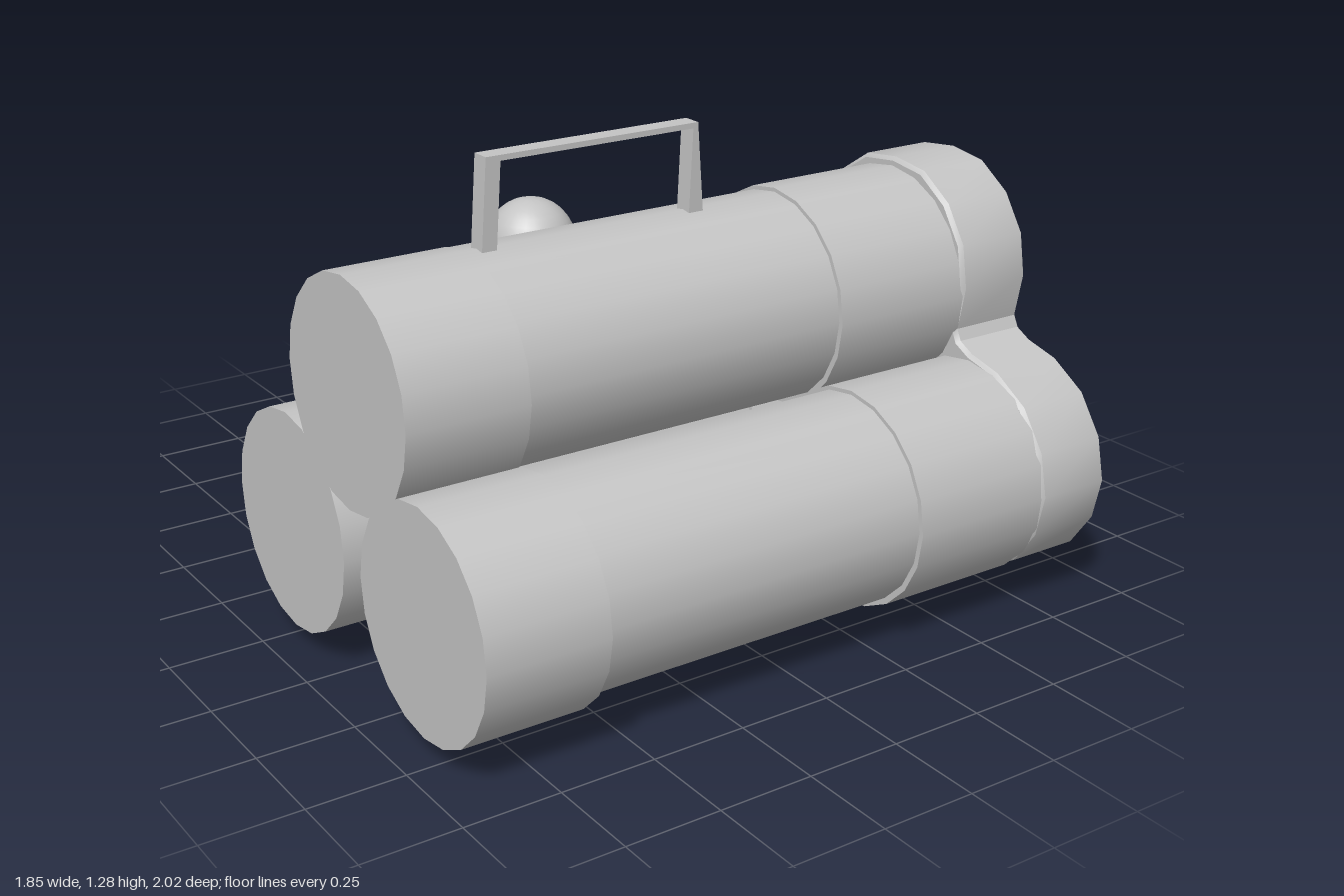
import * as THREE from 'three';
import { toCreasedNormals } from 'three/addons/utils/BufferGeometryUtils.js';

const grey = new THREE.MeshStandardMaterial({ color: 0xc4c4c4 });
grey.name = 'grey';

function add(parent, name, geometry) {
  const mesh = new THREE.Mesh(geometry, grey);
  mesh.name = name;
  parent.add(mesh);
  return mesh;
}

// Solid section of a tube lying along x
function tubeSection(parent, name, x0, x1, r, y, z) {
  const g = new THREE.CylinderGeometry(r, r, x1 - x0, 20);
  g.rotateZ(Math.PI / 2);
  add(parent, name, g).position.set((x0 + x1) / 2, y, z);
}

// One long tube: rear collar, slim middle, thicker front
function makeTube(name, y, z, collarY) {
  const tube = new THREE.Group();
  tube.name = name;
  tubeSection(tube, 'rearCollar', -0.93, -0.61, 0.286, collarY, z);
  tubeSection(tube, 'tubeBody', -0.61, 0.29, 0.271, y, z);
  tubeSection(tube, 'frontSleeve', 0.29, 0.69, 0.284, y - 0.003, z);
  return tube;
}

// Three-lobed cap joining the tubes, outlined by its half profile
function makeCap() {
  const half = [
    [0, 1.092], [0.11, 1.078], [0.205, 1.015], [0.268, 0.92], [0.287, 0.81],
    [0.265, 0.695], [0.28, 0.665], [0.325, 0.642], [0.42, 0.62], [0.52, 0.56],
    [0.59, 0.46], [0.614, 0.35], [0.59, 0.24], [0.525, 0.145], [0.43, 0.085],
    [0.33, 0.063], [0.225, 0.085], [0.135, 0.145], [0.05, 0.21],
  ];
  const mirrored = half.slice(1).reverse().map(([u, y]) => [-u, y]);
  const outline = half.concat(mirrored).map(([u, y]) => new THREE.Vector2(u, y));
  const g = new THREE.ExtrudeGeometry(new THREE.Shape(outline), {
    depth: 0.2, bevelEnabled: true, bevelThickness: 0.01, bevelSize: 0.01,
    bevelOffset: -0.008, bevelSegments: 1,
  });
  g.rotateY(Math.PI / 2);
  return toCreasedNormals(g, 0.6);
}

// Carrying handle: thin bar on two slightly splayed legs
function makeHandle() {
  const shape = new THREE.Shape([
    [-0.58, 1.04], [-0.54, 1.04], [-0.526, 1.268], [0.016, 1.268],
    [0.006, 1.04], [0.05, 1.04], [0.03, 1.282], [-0.565, 1.282],
  ].map(([x, y]) => new THREE.Vector2(x, y)));
  const g = new THREE.ExtrudeGeometry(shape, { depth: 0.05, bevelEnabled: false });
  g.translate(0, 0, 0.355);
  return g;
}

// Round with a rimmed case and a domed tip, base at the origin, pointing up
function makeShell(name) {
  const shell = new THREE.Group();
  shell.name = name;
  const lathe = (points) => toCreasedNormals(
    new THREE.LatheGeometry(points.map(([r, y]) => new THREE.Vector2(r, y)), 28).toNonIndexed(), 0.6);
  add(shell, 'case', lathe([
    [0, 0], [0.172, 0], [0.172, 0.018], [0.154, 0.035], [0.152, 0.34],
    [0.146, 0.342], [0.144, 0.51], [0, 0.512],
  ]));
  const dome = [[0, 0.505], [0.125, 0.505], [0.134, 0.53]];
  for (let i = 0; i <= 8; i++) {
    const a = (i / 8) * Math.PI / 2;
    dome.push([i === 8 ? 0 : 0.139 * Math.cos(a), 0.555 + 0.14 * Math.sin(a)]);
  }
  add(shell, 'domedTip', lathe(dome));
  return shell;
}

export function createModel() {
  const model = new THREE.Group();
  model.name = 'tripleTubeLauncher';

  model.add(makeTube('topTube', 0.79, 0.38, 0.776));
  model.add(makeTube('lowerFrontTube', 0.348, 0.707, 0.337));
  model.add(makeTube('lowerBackTube', 0.348, 0.052, 0.337));

  add(model, 'endCap', makeCap()).position.set(0.69, 0, 0.382);
  add(model, 'handle', makeHandle());

  // One standing round and one lying on its side
  const standing = makeShell('standingShell');
  standing.position.set(0.305, 0.06, -0.815);
  model.add(standing);

  const lying = makeShell('lyingShell');
  lying.position.set(0.472, 0.173, -0.418);
  lying.quaternion.setFromUnitVectors(
    new THREE.Vector3(0, 1, 0), new THREE.Vector3(0.56, 0, -0.83).normalize());
  model.add(lying);

  return model;
}
